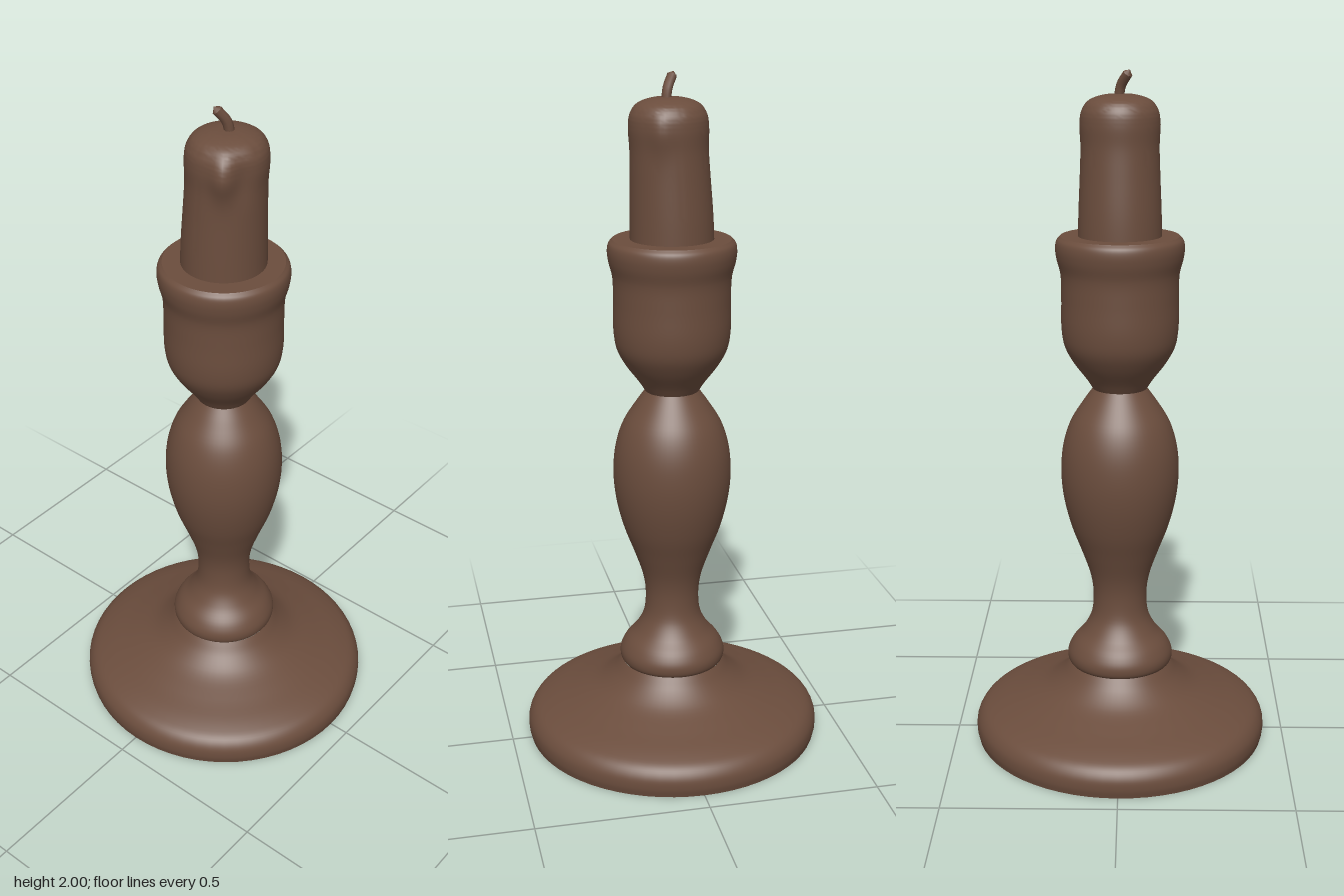
import * as THREE from 'three';
import { toCreasedNormals } from 'three/addons/utils/BufferGeometryUtils.js';

const SEGMENTS = 64;

// Smooth turned solid: the [radius, height] points run from bottom to top.
function turned(points, steps) {
  const curve = new THREE.CatmullRomCurve3(
    points.map(([r, y]) => new THREE.Vector3(r, y, 0)), false, 'centripetal');
  const profile = curve.getPoints(steps).map(p => new THREE.Vector2(Math.max(p.x, 0), p.y));
  return new THREE.LatheGeometry(profile, SEGMENTS);
}

export function createModel() {
  const group = new THREE.Group();
  const brown = new THREE.MeshStandardMaterial({ color: 0x6b4d3d });
  brown.name = 'brown';

  const add = (name, geometry) => {
    const mesh = new THREE.Mesh(geometry, brown);
    mesh.name = name;
    group.add(mesh);
    return mesh;
  };

  // Wide foot, sweeping up to the stem
  add('base', turned([
    [0.436, 0], [0.441, 0.025], [0.438, 0.055], [0.42, 0.082], [0.38, 0.103],
    [0.30, 0.13], [0.225, 0.16], [0.18, 0.195], [0.15, 0.232]
  ], 40)).scale.z = 1.01;
  const underside = add('underside', new THREE.CircleGeometry(0.436, SEGMENTS).rotateX(Math.PI / 2));
  underside.scale.z = 1.01;

  // Collar, narrow neck and vase-shaped stem
  add('stem', turned([
    [0.145, 0.226], [0.156, 0.24], [0.158, 0.265], [0.143, 0.298], [0.11, 0.337],
    [0.086, 0.385], [0.08, 0.45], [0.088, 0.51], [0.115, 0.59], [0.145, 0.67],
    [0.167, 0.76], [0.174, 0.84], [0.167, 0.92], [0.145, 0.99], [0.108, 1.05], [0.078, 1.092]
  ], 70));

  // Candle cup with a flared lip
  add('cup', turned([
    [0.078, 1.09], [0.096, 1.118], [0.135, 1.17], [0.16, 1.217], [0.169, 1.27],
    [0.169, 1.36], [0.171, 1.43], [0.182, 1.475], [0.185, 1.505], [0.181, 1.525], [0.17, 1.537]
  ], 50));
  add('cupTop', new THREE.RingGeometry(0.09, 0.17, SEGMENTS, 1).rotateX(-Math.PI / 2).translate(0, 1.537, 0));

  // Candle, leaning slightly forward, with a melted shoulder and a wax bulge
  const candle = turned([
    [0.12, 1.52], [0.118, 1.6], [0.113, 1.72], [0.111, 1.79], [0.113, 1.85],
    [0.108, 1.885], [0.09, 1.912], [0.05, 1.928], [0, 1.932]
  ], 48);
  const pos = candle.attributes.position;
  for (let i = 0; i < pos.count; i++) {
    const x = pos.getX(i), y = pos.getY(i), z = pos.getZ(i);
    const t = THREE.MathUtils.smoothstep(y, 1.52, 1.9);
    const angle = Math.atan2(z, x);
    const near = c => Math.exp(-Math.pow((angle - c) / 0.25, 2));
    const band = Math.exp(-Math.pow((y - 1.84) / 0.06, 2));
    const swell = 1 + band * (0.17 * near(2.55) - 0.06 * near(2.05) + 0.07 * near(0.4));
    pos.setXYZ(i, x * swell, y, z * swell + 0.011 * t);
  }
  add('candle', toCreasedNormals(candle, 0.9));

  // Short bent wick
  const wickPath = new THREE.CatmullRomCurve3([
    new THREE.Vector3(0.004, 1.915, 0.018),
    new THREE.Vector3(-0.003, 1.955, 0.012),
    new THREE.Vector3(-0.022, 1.988, -0.005)
  ]);
  add('wick', new THREE.TubeGeometry(wickPath, 8, 0.014, 8));
  const tip = add('wickTip', new THREE.ConeGeometry(0.014, 0.014, 8).translate(0, 0.006, 0));
  tip.position.copy(wickPath.getPoint(1));
  tip.quaternion.setFromUnitVectors(new THREE.Vector3(0, 1, 0), wickPath.getTangent(1));

  return group;
}
